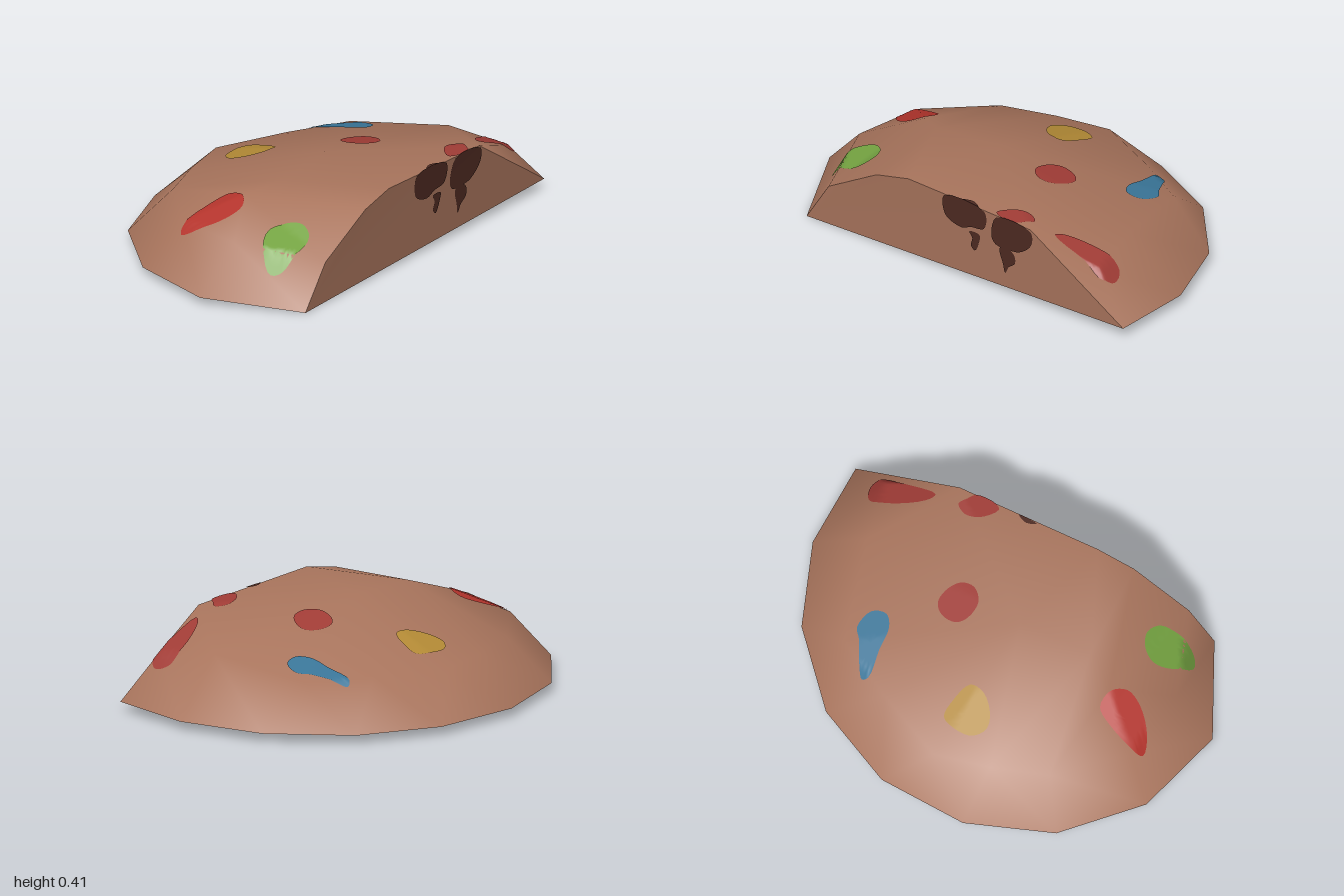
import * as THREE from 'three';

const V = (x, y, z) => new THREE.Vector3(x, y, z);
const mat = (name, color) => {
  const m = new THREE.MeshStandardMaterial({ color });
  m.name = name;
  return m;
};

// Lower rim, shoulder ring and crown points, running clockwise from the left end of the cut
const R = [V(-0.7, 0, 0.72), V(-1, 0.035, 0.36), V(-0.98, 0.037, -0.06), V(-0.77, 0.04, -0.42), V(-0.43, 0.04, -0.65),
  V(-0.03, 0.042, -0.73), V(0.36, 0.042, -0.65), V(0.7, 0.043, -0.42), V(0.92, 0.044, -0.09), V(1, 0.045, 0.29)];
const G = [V(-0.57, 0.2, 0.7), V(-0.8, 0.24, 0.35), V(-0.82, 0.24, 0.02), V(-0.62, 0.24, -0.29), V(-0.4, 0.237, -0.43),
  V(-0.17, 0.232, -0.545), V(0.17, 0.235, -0.48), V(0.47, 0.235, -0.4), V(0.69, 0.29, 0.01), V(0.81, 0.25, 0.27)];
const H = [V(-0.3, 0.36, 0.645), V(-0.13, 0.4, 0.6), V(0.52, 0.375, 0.43)]; // top of the cut
const A = V(-0.1, 0.41, 0.12), B = V(-0.42, 0.395, 0.22), C = V(-0.58, 0.35, 0.16);

// Turn each triangle so that its normal points to the given side
function facing(tris, axis, sign) {
  return tris.map(([a, b, c]) => {
    const n = b.clone().sub(a).cross(c.clone().sub(a));
    return n[axis] * sign >= 0 ? [a, b, c] : [a, c, b];
  });
}

// Smooth surface with shared corners
function surface(tris) {
  const points = [...new Set(tris.flat())];
  const g = new THREE.BufferGeometry().setFromPoints(points);
  g.setIndex(tris.flat().map((p) => points.indexOf(p)));
  g.computeVertexNormals();
  return g;
}

// Depth of a surface along one axis at (u, v), taken from the best fitting triangle
function depthAt(tris, axis, u, v) {
  const w = axis === 'y' ? 'z' : 'y';
  let best = -Infinity, depth = 0;
  for (const [a, b, c] of tris) {
    const d = (b[w] - c[w]) * (a.x - c.x) + (c.x - b.x) * (a[w] - c[w]);
    if (Math.abs(d) < 1e-6) continue;
    const s = ((b[w] - c[w]) * (u - c.x) + (c.x - b.x) * (v - c[w])) / d;
    const t = ((c[w] - a[w]) * (u - c.x) + (a.x - c.x) * (v - c[w])) / d;
    const m = Math.min(s, t, 1 - s - t);
    if (m > best) {
      best = m;
      depth = s * a[axis] + t * b[axis] + (1 - s - t) * c[axis];
    }
  }
  return depth;
}

// Thin painted patch that follows a surface
function patch(tris, axis, outline) {
  const curve = new THREE.CatmullRomCurve3(outline.map(([u, v]) => V(u, v, 0)), true, 'centripetal');
  const n = outline.length * 4, rings = 6;
  const edge = curve.getPoints(n).slice(0, n);
  const mid = edge.reduce((s, p) => s.add(p), V(0, 0, 0)).divideScalar(n);
  const at = (p) => {
    const d = depthAt(tris, axis, p.x, p.y) + 0.005;
    return axis === 'y' ? V(p.x, d, p.y) : V(p.x, p.y, d);
  };
  const centre = at(mid);
  const loops = [];
  for (let r = 1; r <= rings; r++) loops.push(edge.map((p) => at(mid.clone().lerp(p, r / rings))));
  const out = [];
  for (let i = 0; i < n; i++) {
    const j = (i + 1) % n;
    out.push([centre, loops[0][i], loops[0][j]]);
    for (let r = 1; r < rings; r++) {
      out.push([loops[r - 1][i], loops[r][i], loops[r][j]], [loops[r - 1][i], loops[r][j], loops[r - 1][j]]);
    }
  }
  return surface(facing(out, axis, 1));
}

export function createModel() {
  const group = new THREE.Group();
  const dough = mat('baked dough', 0xa8745c);
  const chocolate = mat('dark chocolate', 0x4e2a22);
  const green = mat('green candy', 0x74a341);
  const red = mat('bright red candy', 0xb4342c);
  const dullRed = mat('dull red candy', 0xa13c36);
  const yellow = mat('yellow candy', 0xb38a35);
  const blue = mat('blue candy', 0x3a7699);
  const add = (name, geometry, material) => {
    const mesh = new THREE.Mesh(geometry, material);
    mesh.name = name;
    group.add(mesh);
  };

  // Domed top: sloping side strip, then the crown
  const domeTris = [];
  for (let i = 0; i < 9; i++) domeTris.push([R[i], R[i + 1], G[i + 1]], [R[i], G[i + 1], G[i]]);
  domeTris.push([R[9], G[9], H[2]], [G[8], G[9], H[2]], [A, G[8], H[2]], [A, H[1], H[2]],
    [G[0], G[1], C], [G[1], G[2], C], [G[2], G[3], C], [G[0], C, H[0]], [C, B, H[0]], [H[0], B, H[1]],
    [C, G[3], B], [G[3], G[4], B], [B, G[4], A], [B, A, H[1]]);
  for (let i = 4; i < 8; i++) domeTris.push([A, G[i], G[i + 1]]);
  const dome = facing(domeTris, 'y', 1);
  add('domedTop', surface(dome), dough);

  // Cut face at the front
  const cutEdge = [R[9], H[2], H[1], H[0], G[0]];
  const cut = facing(cutEdge.slice(1).map((p, i) => [R[0], cutEdge[i], p]), 'z', 1);
  add('cutFace', surface(cut), dough);

  // Underside
  const base = [];
  for (let i = 1; i < 9; i++) base.push([R[0], R[i], R[i + 1]]);
  add('underside', surface(facing(base, 'y', -1)), dough);

  // Candy spots on the top, outlines in x and z
  const spots = [
    ['yellowSpot', yellow, [[-0.28, -0.32], [-0.25, -0.38], [-0.18, -0.405], [-0.1, -0.395], [-0.085, -0.32], [-0.1, -0.22], [-0.17, -0.21], [-0.25, -0.26]]],
    ['blueSpot', blue, [[0.28, -0.46], [0.3, -0.48], [0.34, -0.45], [0.42, -0.36], [0.465, -0.32], [0.46, -0.23], [0.4, -0.2], [0.35, -0.24], [0.32, -0.34]]],
    ['middleRedSpot', dullRed, [[0.1, 0], [0.13, -0.05], [0.2, -0.06], [0.25, -0.03], [0.26, 0.03], [0.23, 0.1], [0.17, 0.12], [0.11, 0.08]]],
    ['brightRedSpot', red, [[-0.86, 0.06], [-0.84, 0.04], [-0.67, 0.045], [-0.6, 0.07], [-0.59, 0.15], [-0.64, 0.21], [-0.72, 0.2], [-0.82, 0.13]]],
    ['greenSpot', green, [[-0.75, 0.52], [-0.7, 0.43], [-0.63, 0.395], [-0.56, 0.42], [-0.52, 0.48], [-0.54, 0.55], [-0.62, 0.58], [-0.71, 0.57]]],
    ['sideRedSpot', dullRed, [[0.585, 0.345], [0.6, 0.3], [0.74, 0.19], [0.82, 0.17], [0.86, 0.23], [0.84, 0.28], [0.75, 0.305]]],
    ['edgeRedSpot', dullRed, [[0.32, 0.46], [0.36, 0.38], [0.42, 0.35], [0.475, 0.37], [0.46, 0.41], [0.44, 0.45], [0.35, 0.473]]],
    ['edgeChip', chocolate, [[0.15, 0.517], [0.19, 0.49], [0.24, 0.5]]],
  ];
  for (const [name, material, outline] of spots) add(name, patch(dome, 'y', outline), material);

  // Chocolate chips on the cut face, outlines in x and y
  const chips = [
    [[0.065, 0.39], [0.06, 0.3], [0.09, 0.27], [0.15, 0.255], [0.2, 0.275], [0.27, 0.29], [0.28, 0.38]],
    [[0.19, 0.25], [0.245, 0.25], [0.24, 0.21], [0.215, 0.16], [0.195, 0.18], [0.205, 0.22]],
    [[0.345, 0.378], [0.31, 0.27], [0.33, 0.235], [0.4, 0.23], [0.46, 0.24], [0.525, 0.3], [0.525, 0.365]],
    [[0.36, 0.235], [0.35, 0.21], [0.365, 0.15], [0.375, 0.105], [0.395, 0.14], [0.43, 0.17], [0.43, 0.21], [0.4, 0.235]],
  ];
  chips.forEach((outline, i) => add('chocolateChip' + (i + 1), patch(cut, 'z', outline), chocolate));

  return group;
}
